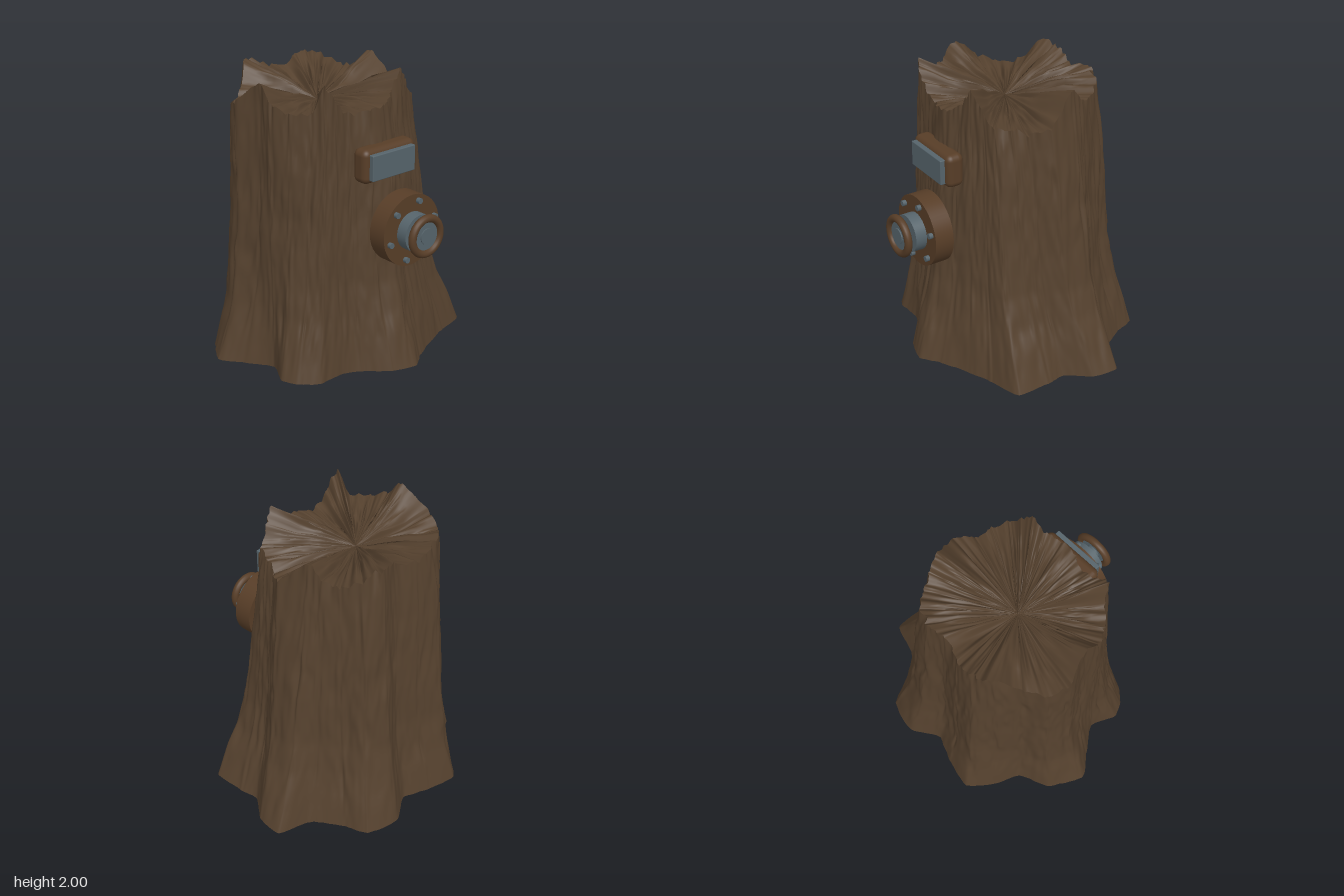
import * as THREE from 'three';
import { RoundedBoxGeometry } from 'three/addons/geometries/RoundedBoxGeometry.js';

const bark = new THREE.MeshStandardMaterial({ color: 0x55412e });
bark.name = 'bark brown';
const copper = new THREE.MeshStandardMaterial({ color: 0x573d27 });
copper.name = 'fitting brown';
const steel = new THREE.MeshStandardMaterial({ color: 0x56646b });
steel.name = 'blue grey steel';

// Foot outline of the trunk (x, z) and the matching broken rim (x, y, z)
const FOOT = [
  [0.92, -0.33], [0.9, -0.14], [0.78, 0.02], [0.8, 0.16], [0.79, 0.4], [0.58, 0.47], [0.4, 0.54],
  [0.2, 0.64], [0.05, 0.74], [-0.12, 0.69], [-0.27, 0.57], [-0.4, 0.5], [-0.6, 0.51], [-0.72, 0.42],
  [-0.77, 0.3], [-0.69, 0.12], [-0.82, -0.07], [-0.92, -0.22], [-0.78, -0.44], [-0.57, -0.53], [-0.48, -0.71],
  [-0.34, -0.86], [-0.12, -0.81], [0.08, -0.74], [0.27, -0.85], [0.5, -0.78], [0.56, -0.62], [0.69, -0.42],
];
const RIM = [
  [0.46, 1.96, -0.2], [0.5, 1.76, 0], [0.43, 1.72, 0.12], [0.38, 1.76, 0.22], [0.33, 1.78, 0.3], [0.27, 1.86, 0.33], [0.2, 1.99, 0.38],
  [0.1, 1.86, 0.39], [0, 1.8, 0.42], [-0.14, 1.78, 0.41], [-0.27, 1.78, 0.38], [-0.38, 1.88, 0.4], [-0.45, 1.99, 0.38], [-0.5, 1.8, 0.3],
  [-0.6, 1.8, 0.2], [-0.66, 1.84, 0.08], [-0.64, 1.97, -0.04], [-0.7, 1.8, -0.22], [-0.64, 1.76, -0.36], [-0.5, 1.78, -0.45], [-0.38, 1.95, -0.57],
  [-0.25, 1.92, -0.63], [-0.1, 1.86, -0.6], [0.05, 1.9, -0.56], [0.18, 1.92, -0.58], [0.3, 1.88, -0.52], [0.38, 1.82, -0.4], [0.44, 1.86, -0.3],
];
const HEART = new THREE.Vector3(-0.12, 1.74, -0.09);
const COLUMNS = 420;

// Share of the foot outline left at each height
const FLARE = [[0, 1], [0.2, 0.82], [0.4, 0.62], [0.6, 0.48], [1, 0.34], [1.4, 0.22], [1.8, 0.07], [2, 0]];
function flare(y) {
  const k = Math.max(1, FLARE.findIndex((p) => p[0] >= y));
  const [y0, w0] = FLARE[k - 1], [y1, w1] = FLARE[k];
  return w0 + ((w1 - w0) * (y - y0)) / (y1 - y0);
}

// Repeatable value noise, periodic in u with the given number of cells
function hash(i, j, seed) {
  const s = Math.sin(i * 127.1 + j * 311.7 + seed * 74.7) * 43758.5453;
  return s - Math.floor(s);
}
function noise(u, v, cells, rows, seed) {
  const x = u * cells, y = v * rows, i = Math.floor(x), j = Math.floor(y);
  const fx = x - i, fy = y - j, wrap = (n) => ((n % cells) + cells) % cells;
  const mix = THREE.MathUtils.lerp;
  return mix(mix(hash(wrap(i), j, seed), hash(wrap(i + 1), j, seed), fx),
    mix(hash(wrap(i), j + 1, seed), hash(wrap(i + 1), j + 1, seed), fx), fy) * 2 - 1;
}

// Closed ring surface: point(u, v) swept around in u and along v
function ringSurface(point, rows, flip) {
  const pos = [], index = [];
  for (let j = 0; j <= rows; j++) {
    for (let i = 0; i < COLUMNS; i++) pos.push(...point(i, j / rows).toArray());
  }
  for (let j = 0; j < rows; j++) {
    for (let i = 0; i < COLUMNS; i++) {
      const n = (i + 1) % COLUMNS, a = j * COLUMNS + i, b = j * COLUMNS + n;
      const c = a + COLUMNS, d = b + COLUMNS;
      if (flip) index.push(a, b, c, b, d, c);
      else index.push(a, c, b, b, c, d);
    }
  }
  const g = new THREE.BufferGeometry();
  g.setAttribute('position', new THREE.Float32BufferAttribute(pos, 3));
  g.setIndex(index);
  g.computeVertexNormals();
  return g;
}

function add(group, name, geometry, material, x = 0, y = 0, z = 0) {
  const m = new THREE.Mesh(geometry, material);
  m.name = name;
  m.position.set(x, y, z);
  group.add(m);
  return m;
}

function buildTrunk() {
  const trunk = new THREE.Group();
  trunk.name = 'trunk';
  const footCurve = new THREE.CatmullRomCurve3(FOOT.map(([x, z]) => new THREE.Vector3(x, 0, z)), true, 'catmullrom', 0.3);
  const rimCurve = new THREE.CatmullRomCurve3(RIM.map((p) => new THREE.Vector3(...p)), true, 'catmullrom', 0.25);
  const foot = [], rim = [];
  for (let i = 0; i < COLUMNS; i++) {
    const u = i / COLUMNS;
    foot.push(footCurve.getPoint(u));
    const r = rimCurve.getPoint(u);
    r.y = Math.min(2, r.y + 0.022 * noise(u, 0, 140, 1, 5)); // splintered edge
    rim.push(r);
  }

  // Bark: foot blends into rim, with long wandering furrows
  const wall = (i, v) => {
    const y = rim[i].y * v;
    const left = Math.max(0, -rim[i].x - 0.3);
    const w = Math.pow(flare(y), 1 + 2 * left);
    const p = rim[i].clone().lerp(foot[i], w);
    const u = i / COLUMNS + 0.004 * noise(0.5, v, 7, 9, 2);
    const furrow = Math.min(0, noise(u, v, 70, 5, 3) + 0.25);
    const d = 0.03 * furrow + 0.009 * noise(u, v, 210, 14, 4) + 0.008 * noise(u, v, 36, 6, 8);
    const out = new THREE.Vector3(p.x - HEART.x, 0, p.z - HEART.z).normalize();
    p.addScaledVector(out, d * Math.min(1, 0.3 + v * 5));
    p.y = y;
    return p;
  };
  add(trunk, 'bark', ringSurface(wall, 64, false), bark);

  // Broken top: splinters radiating from the heart
  const top = (i, v) => {
    const u = i / COLUMNS;
    const p = HEART.clone().lerp(wall(i, 1), v);
    const grain = 0.02 * noise(u, v, 210, 3, 11) + 0.016 * noise(u, v, 84, 2, 12);
    p.y += grain * Math.sin(Math.PI * Math.min(1, v)) * 1.3;
    return p;
  };
  add(trunk, 'brokenTop', ringSurface(top, 12, true), bark);

  // Flat underside
  const under = (i, v) => wall(i, 0).multiplyScalar(v);
  add(trunk, 'underside', ringSurface(under, 1, false), bark);
  return trunk;
}

// Cylinder lying along z between two depths
function disc(group, name, material, radius, z0, z1, x = 0, y = 0, sides = 40) {
  const g = new THREE.CylinderGeometry(radius, radius, z1 - z0, sides).rotateX(Math.PI / 2);
  return add(group, name, g, material, x, y, (z0 + z1) / 2);
}

function buildValve() {
  const valve = new THREE.Group();
  valve.name = 'valve';
  valve.position.set(0.02, 1, 0);
  disc(valve, 'pipe', steel, 0.08, 0.4, 0.54);
  disc(valve, 'backPlate', steel, 0.17, 0.535, 0.57);
  disc(valve, 'flange', copper, 0.247, 0.565, 0.7, 0, 0, 56);
  disc(valve, 'hub', steel, 0.13, 0.69, 0.78);
  disc(valve, 'stem', steel, 0.055, 0.77, 0.848, 0, 0, 12);
  disc(valve, 'wheelWeb', steel, 0.105, 0.825, 0.84);
  const wheel = add(valve, 'handWheel', new THREE.TorusGeometry(0.122, 0.027, 14, 48), copper, 0, 0, 0.836);
  wheel.castShadow = false;
  for (let k = 0; k < 6; k++) {
    const a = THREE.MathUtils.degToRad(15 + 60 * k);
    disc(valve, 'bolt', steel, 0.02, 0.69, 0.727, 0.203 * Math.cos(a), 0.203 * Math.sin(a), 10);
  }
  return valve;
}

function buildPanel() {
  const panel = new THREE.Group();
  panel.name = 'panel';
  panel.position.set(-0.035, 1.445, 0);
  add(panel, 'housing', new RoundedBoxGeometry(0.45, 0.235, 0.13, 4, 0.045), copper, 0, 0, 0.487);
  add(panel, 'facePlate', new RoundedBoxGeometry(0.37, 0.175, 0.06, 2, 0.006), steel, 0, 0, 0.555);
  return panel;
}

export function createModel() {
  const model = new THREE.Group();
  model.name = 'treeStump';
  model.add(buildTrunk(), buildValve(), buildPanel());
  return model;
}
